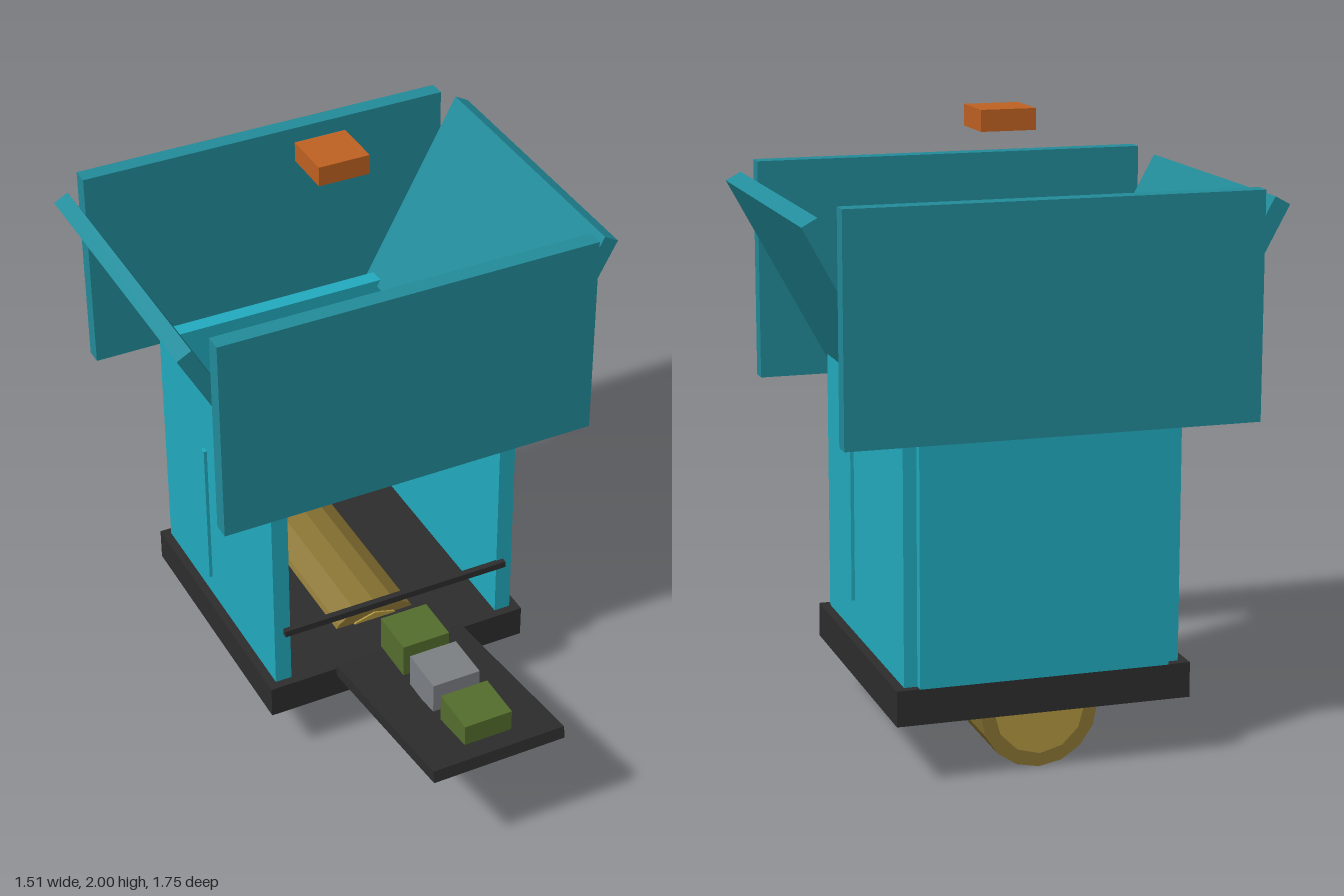
import * as THREE from 'three';

const mat = (name, color) => {
  const m = new THREE.MeshStandardMaterial({ color });
  m.name = name;
  return m;
};

export function createModel() {
  const cyan = mat('cyan', 0x22acc0);
  const teal = mat('teal', 0x228c9a);
  const dark = mat('charcoal', 0x2d2d2d);
  const bark = mat('dark gold', 0x8a7433);
  const gold = mat('gold', 0xb0953f);
  const green = mat('olive green', 0x556e2d);
  const grey = mat('grey', 0x7c8084);
  const orange = mat('orange', 0xc06222);

  const model = new THREE.Group();
  model.name = 'hopper';

  const add = (name, geometry, material, x, y, z) => {
    const mesh = new THREE.Mesh(geometry, material);
    mesh.name = name;
    mesh.position.set(x, y, z);
    model.add(mesh);
    return mesh;
  };
  const box = (name, material, [x0, x1], [y0, y1], [z0, z1]) =>
    add(name, new THREE.BoxGeometry(x1 - x0, y1 - y0, z1 - z0), material,
      (x0 + x1) / 2, (y0 + y1) / 2, (z0 + z1) / 2);
  // Faceted cylinder lying along z
  const drum = (name, material, r, sides, z0, z1) => {
    const g = new THREE.CylinderGeometry(r, r, z1 - z0, sides).rotateX(Math.PI / 2).toNonIndexed();
    g.computeVertexNormals();
    return add(name, g, material, 0, 0.19, (z0 + z1) / 2);
  };

  // Base and open-fronted bin
  box('base', dark, [-0.472, 0.472], [0.197, 0.31], [-0.782, 0.165]);
  box('backWall', cyan, [-0.4, 0.4], [0.31, 1.16], [-0.785, -0.73]);
  box('frontBar', dark, [-0.41, 0.41], [0.507, 0.53], [0.132, 0.154]);

  // Funnel front and back panels
  box('funnelFront', teal, [-0.65, 0.65], [1.083, 1.79], [0.193, 0.25]);
  box('funnelBack', teal, [-0.65, 0.65], [1.083, 1.79], [-0.872, -0.815]);

  // Mirrored side parts
  for (const s of [-1, 1]) {
    const side = s > 0 ? 'left' : 'right';
    const wall = box(side + 'Wall', cyan, [0.385, 0.442], [0.31, 1.16], [-0.755, 0.135]);
    wall.position.x *= s;
    const strip = box(side + 'Strip', cyan, [0.476, 0.487], [0.46, 0.99], [-0.317, -0.296]);
    strip.position.x *= s;
    const flap = add(side + 'FunnelPanel', new THREE.BoxGeometry(0.055, 0.71, 1.005), teal, s * 0.56, 1.435, -0.312);
    flap.rotation.z = -s * 0.5;
  }

  // Roller set into the base, with end discs and a hub
  drum('roller', bark, 0.19, 16, -0.722, -0.018);
  drum('rollerFrontDisc', gold, 0.145, 12, -0.02, -0.011);
  drum('rollerBackDisc', gold, 0.145, 12, -0.729, -0.72);
  drum('rollerHub', cyan, 0.057, 14, -0.012, 0.006);

  // Sloping tray with three blocks
  const tray = add('tray', new THREE.BoxGeometry(0.47, 0.044, 0.71), dark, 0, 0.361, 0.52);
  tray.rotation.x = -0.15;
  [[0.2, green], [0.412, grey], [0.628, green]].forEach(([z, m], i) =>
    box('trayBlock' + (i + 1), m, [-0.084, 0.084], [0.38, 0.5], [z, z + 0.165]));

  // Block floating above the funnel
  box('topBlock', orange, [-0.088, 0.088], [1.933, 2.0], [-0.4, -0.225]);

  return model;
}
